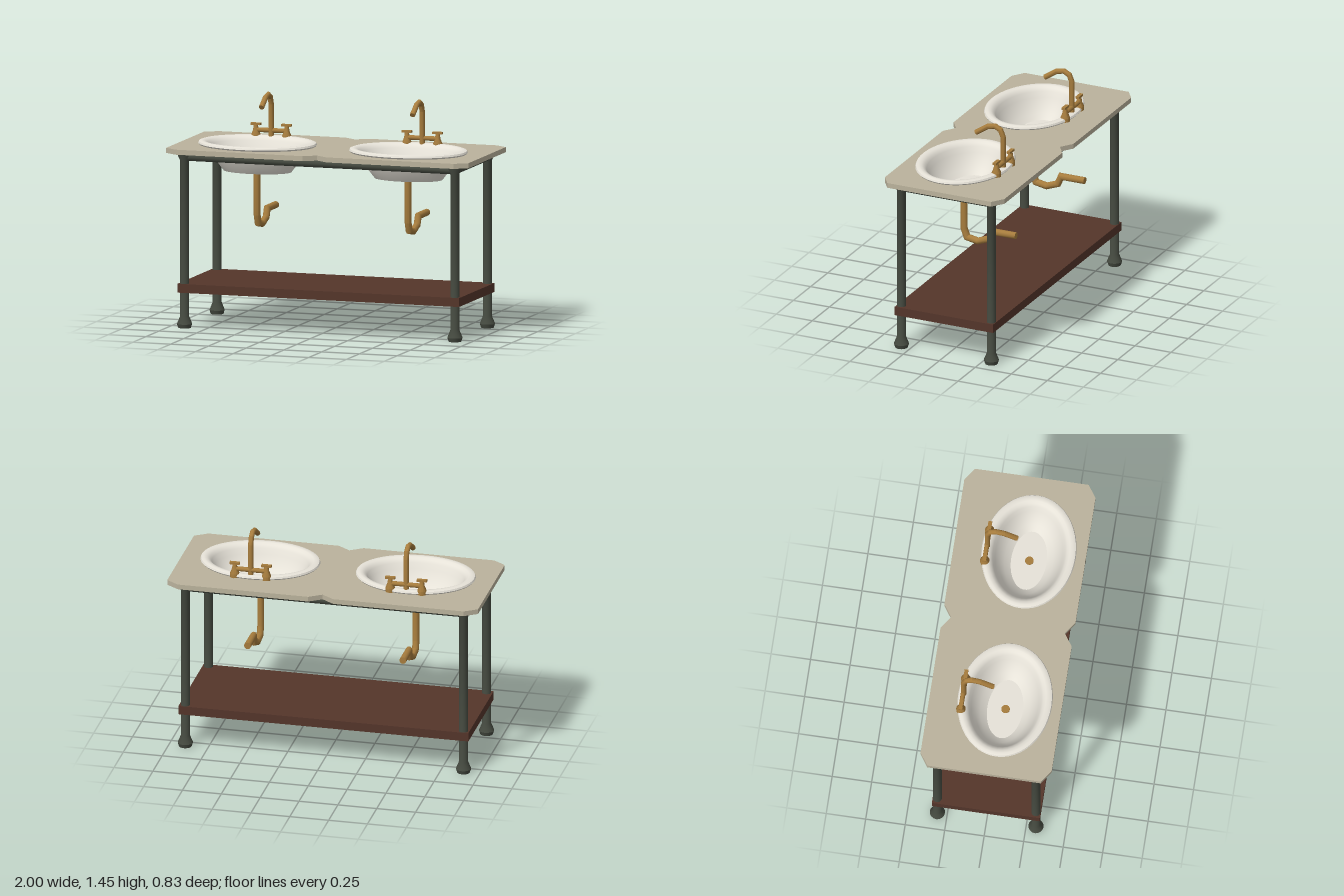
import * as THREE from 'three';
import { toCreasedNormals } from 'three/addons/utils/BufferGeometryUtils.js';

const mat = (color) => new THREE.MeshStandardMaterial({ color });
const stone = mat(0xbab29c), ceramic = mat(0xe6e2d8), brass = mat(0xa67c3d);
const iron = mat(0x454a40), wood = mat(0x54352a);

function add(parent, name, geometry, material, x = 0, y = 0, z = 0) {
  const mesh = new THREE.Mesh(geometry, material);
  mesh.name = name;
  mesh.position.set(x, y, z);
  parent.add(mesh);
  return mesh;
}

function lathe(points, sides) {
  return new THREE.LatheGeometry(points.map(([r, y]) => new THREE.Vector2(r, y)), sides);
}

// Mitred pipe through [z, y] points, closed at both ends
function pipe(path, radius, sides = 12) {
  const pos = [], index = [];
  const pts = path.map(([z, y]) => new THREE.Vector2(z, y));
  const last = pts.length - 1;
  const ring = (i, r) => {
    const before = pts[i].clone().sub(pts[Math.max(i - 1, 0)]).normalize();
    const after = pts[Math.min(i + 1, last)].clone().sub(pts[i]).normalize();
    const t = before.clone().add(after).normalize();
    const mitre = 1 / t.dot(i === 0 ? after : before);
    for (let j = 0; j < sides; j++) {
      const a = (j / sides) * Math.PI * 2, s = Math.sin(a) * r * mitre;
      pos.push(Math.cos(a) * r, pts[i].y + t.x * s, pts[i].x - t.y * s);
    }
  };
  ring(0, 0);
  pts.forEach((p, i) => ring(i, radius));
  ring(last, 0);
  for (let i = 0; i < pts.length + 1; i++) {
    for (let j = 0; j < sides; j++) {
      const k = (j + 1) % sides;
      const a = i * sides + j, b = i * sides + k, c = a + sides, d = b + sides;
      index.push(a, b, c, b, d, c);
    }
  }
  const g = new THREE.BufferGeometry();
  g.setAttribute('position', new THREE.Float32BufferAttribute(pos, 3));
  g.setIndex(index);
  return toCreasedNormals(g, 0.6);
}

// Slab with clipped corners, a notch front and back, and two basin openings
function counterGeometry() {
  const right = [[0, -0.36], [0.08, -0.415], [0.92, -0.415], [1, -0.36],
    [1, 0.36], [0.92, 0.415], [0.08, 0.415], [0, 0.36]];
  const left = right.slice(1, -1).reverse().map(([x, z]) => [-x, z]);
  const shape = new THREE.Shape([...right, ...left].map(([x, z]) => new THREE.Vector2(x, z)));
  for (const x of [-0.5, 0.5]) {
    const hole = new THREE.Path();
    hole.absellipse(x, -0.055, 0.325, 0.24, 0, Math.PI * 2, true);
    shape.holes.push(hole);
  }
  const g = new THREE.ExtrudeGeometry(shape, { depth: 0.032, bevelEnabled: false, curveSegments: 24 });
  return g.rotateX(-Math.PI / 2);
}

// Lathed bowl, narrowed by a constant amount in depth to make it oval
function basinGeometry() {
  const g = lathe([[0, 0.975], [0.22, 0.975], [0.328, 1.115], [0.33, 1.14], [0.372, 1.14],
    [0.38, 1.149], [0.375, 1.16], [0.358, 1.166], [0.338, 1.163], [0.322, 1.153], [0.308, 1.135],
    [0.293, 1.1], [0.268, 1.06], [0.235, 1.015], [0.195, 0.985], [0, 0.985]], 48);
  const p = g.attributes.position;
  for (let i = 0; i < p.count; i++) {
    const r = Math.hypot(p.getX(i), p.getZ(i));
    if (r > 0.1) p.setZ(i, p.getZ(i) * (r - 0.083) / r);
  }
  return toCreasedNormals(g, 0.6);
}

function createSink(x) {
  const sink = new THREE.Group();
  sink.name = 'sink';
  sink.position.x = x;
  add(sink, 'basin', basinGeometry(), ceramic, 0, 0, 0.057);
  add(sink, 'drain', new THREE.CylinderGeometry(0.027, 0.027, 0.008, 16), brass, 0, 0.988, 0.06);
  add(sink, 'drainPipe', pipe([[0.065, 0.98], [0.065, 0.7], [0.045, 0.645], [-0.03, 0.631],
    [-0.108, 0.66], [-0.13, 0.713], [-0.295, 0.713]], 0.022), brass);

  // Tap: spout, cross pipe and two handles
  const tap = new THREE.Group();
  tap.name = 'tap';
  sink.add(tap);
  add(tap, 'spout', pipe([[-0.205, 1.15], [-0.205, 1.365], [-0.187, 1.41], [-0.15, 1.43],
    [-0.1, 1.42], [-0.018, 1.366]], 0.017), brass);
  const cross = new THREE.CylinderGeometry(0.015, 0.015, 0.2, 12).rotateZ(Math.PI / 2);
  add(tap, 'crossPipe', cross, brass, 0, 1.195, -0.207);
  const body = toCreasedNormals(lathe([[0, 1.14], [0.03, 1.14], [0.03, 1.165], [0.018, 1.195],
    [0.013, 1.23], [0, 1.23]], 12), 0.6);
  for (const side of [-1, 1]) {
    add(tap, 'handleBody', body, brass, side * 0.102, 0, -0.207);
    add(tap, 'handleBar', new THREE.BoxGeometry(0.064, 0.014, 0.024), brass, side * 0.102, 1.232, -0.207);
  }
  return sink;
}

export function createModel() {
  const model = new THREE.Group();
  model.name = 'doubleWashstand';
  add(model, 'counter', counterGeometry(), stone, 0, 1.108, 0);
  for (const x of [-0.5, 0.5]) model.add(createSink(x));

  // Pipe legs with flared feet and top collars
  const leg = toCreasedNormals(lathe([[0, 0], [0.04, 0], [0.048, 0.025], [0.028, 0.075],
    [0.028, 1.06], [0.042, 1.088], [0.042, 1.108], [0, 1.108]], 16), 0.6);
  const legX = 0.895, legZ = 0.312;
  for (const x of [-legX, legX]) {
    for (const z of [-legZ, legZ]) add(model, 'leg', leg, iron, x, 0, z);
    const sideRail = new THREE.CylinderGeometry(0.025, 0.025, legZ * 2, 12).rotateX(Math.PI / 2);
    add(model, 'sideRail', sideRail, iron, x, 1.082, 0);
  }
  for (const z of [-legZ, legZ]) {
    const longRail = new THREE.CylinderGeometry(0.025, 0.025, legX * 2, 12).rotateZ(Math.PI / 2);
    add(model, 'longRail', longRail, iron, 0, 1.082, z);
  }
  add(model, 'shelf', new THREE.BoxGeometry(1.865, 0.056, 0.683), wood, 0, 0.252, 0);
  return model;
}
